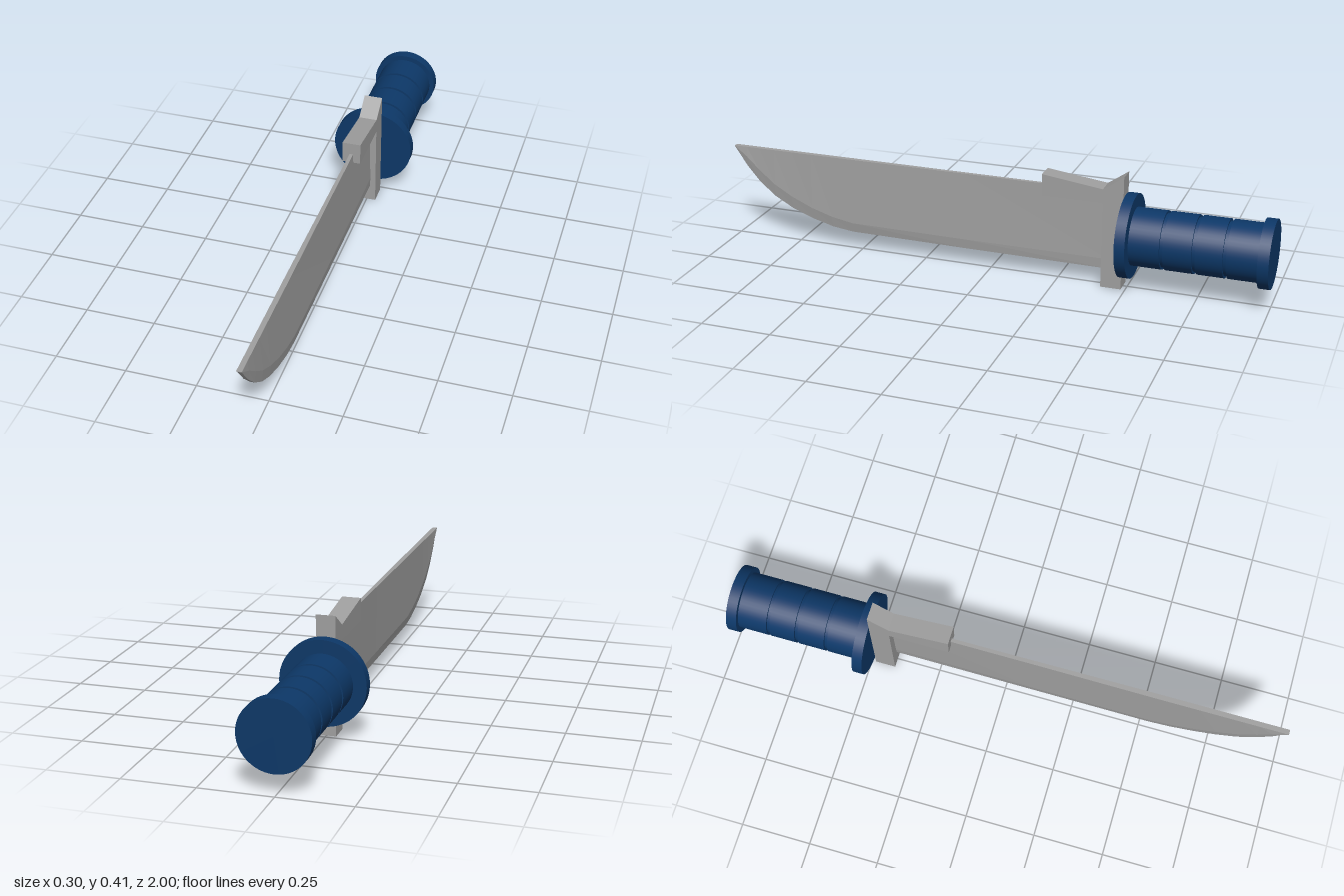
import * as THREE from 'three';

const AXIS_Y = 0.193; // height of the handle axis

export function createModel() {
  const model = new THREE.Group();
  model.name = 'knife';
  const steel = new THREE.MeshStandardMaterial({ color: 0xa0a0a0, flatShading: true });
  steel.name = 'grey steel';
  const blue = new THREE.MeshStandardMaterial({ color: 0x0d3868 });
  blue.name = 'dark blue grip';

  const add = (name, geometry, material) => {
    const mesh = new THREE.Mesh(geometry, material);
    mesh.name = name;
    model.add(mesh);
    return mesh;
  };

  // Discs and barrels stacked along the handle axis
  const barrel = (name, radius, z0, z1) => {
    const g = new THREE.CylinderGeometry(radius, radius, Math.abs(z1 - z0), 48);
    g.rotateX(Math.PI / 2);
    add(name, g, blue).position.set(0, AXIS_Y, (z0 + z1) / 2);
  };
  barrel('handleCollar', 0.148, -0.485, -0.522);
  barrel('gripCore', 0.094, -0.51, -0.97);
  const cuts = [-0.515, -0.635, -0.745, -0.85, -0.97];
  for (let i = 0; i < 4; i++) {
    barrel('gripSegment' + (i + 1), 0.102, cuts[i] - (i ? 0.006 : 0), cuts[i + 1] + (i < 3 ? 0.006 : 0));
  }
  barrel('pommel', 0.12, -0.962, -1);

  // Guard with the hooked spine clamp, as a side profile of (z, y)
  const profile = [
    [-0.485, 0], [-0.412, 0], [-0.412, 0.311], [-0.195, 0.311],
    [-0.195, 0.39], [-0.412, 0.362], [-0.485, 0.413],
  ];
  const guard = new THREE.ExtrudeGeometry(
    new THREE.Shape(profile.map(([z, y]) => new THREE.Vector2(z, y))),
    { depth: 0.066, bevelEnabled: false });
  guard.translate(0, 0, -0.033);
  guard.rotateY(-Math.PI / 2);
  add('guard', guard, steel);

  // Blade stations: z, edge height, shoulder height, half widths of spine and shoulder
  const top = 0.346;
  const stations = [
    [-0.43, 0.062, 0.098, 0.006, 0.007],
    [0.1, 0.065, 0.1, 0.007, 0.011],
    [0.53, 0.069, 0.104, 0.009, 0.014],
    [0.61, 0.079, 0.118, 0.009, 0.014],
    [0.69, 0.1, 0.142, 0.009, 0.014],
    [0.77, 0.13, 0.176, 0.009, 0.014],
    [0.84, 0.168, 0.216, 0.009, 0.014],
    [0.9, 0.216, 0.264, 0.009, 0.013],
    [0.95, 0.272, 0.31, 0.009, 0.012],
    [1, 0.344, 0.345, 0.009, 0.009],
  ];
  const lean = (y) => 0.025 * (top - y); // slight sideways tilt
  const points = [];
  for (const [z, edge, shoulder, spineW, wide] of stations) {
    const edgeW = wide * 0.6;
    const ring = [
      [-spineW, top], [spineW, top], [wide, shoulder],
      [edgeW, edge], [-edgeW, edge], [-wide, shoulder],
    ];
    for (const [x, y] of ring) points.push(x + lean(y), y, z);
  }
  const n = 6;
  const index = [];
  for (let s = 0; s < stations.length - 1; s++) {
    for (let k = 0; k < n; k++) {
      const a = s * n + k, b = s * n + (k + 1) % n;
      index.push(a, a + n, b, b, a + n, b + n);
    }
  }
  // End caps at the guard and the tip
  const last = (stations.length - 1) * n;
  for (let k = 1; k < n - 1; k++) {
    index.push(0, k, k + 1, last, last + k + 1, last + k);
  }
  let blade = new THREE.BufferGeometry();
  blade.setAttribute('position', new THREE.Float32BufferAttribute(points, 3));
  blade.setIndex(index);
  blade = blade.toNonIndexed();
  blade.computeVertexNormals();
  add('blade', blade, steel);

  return model;
}
